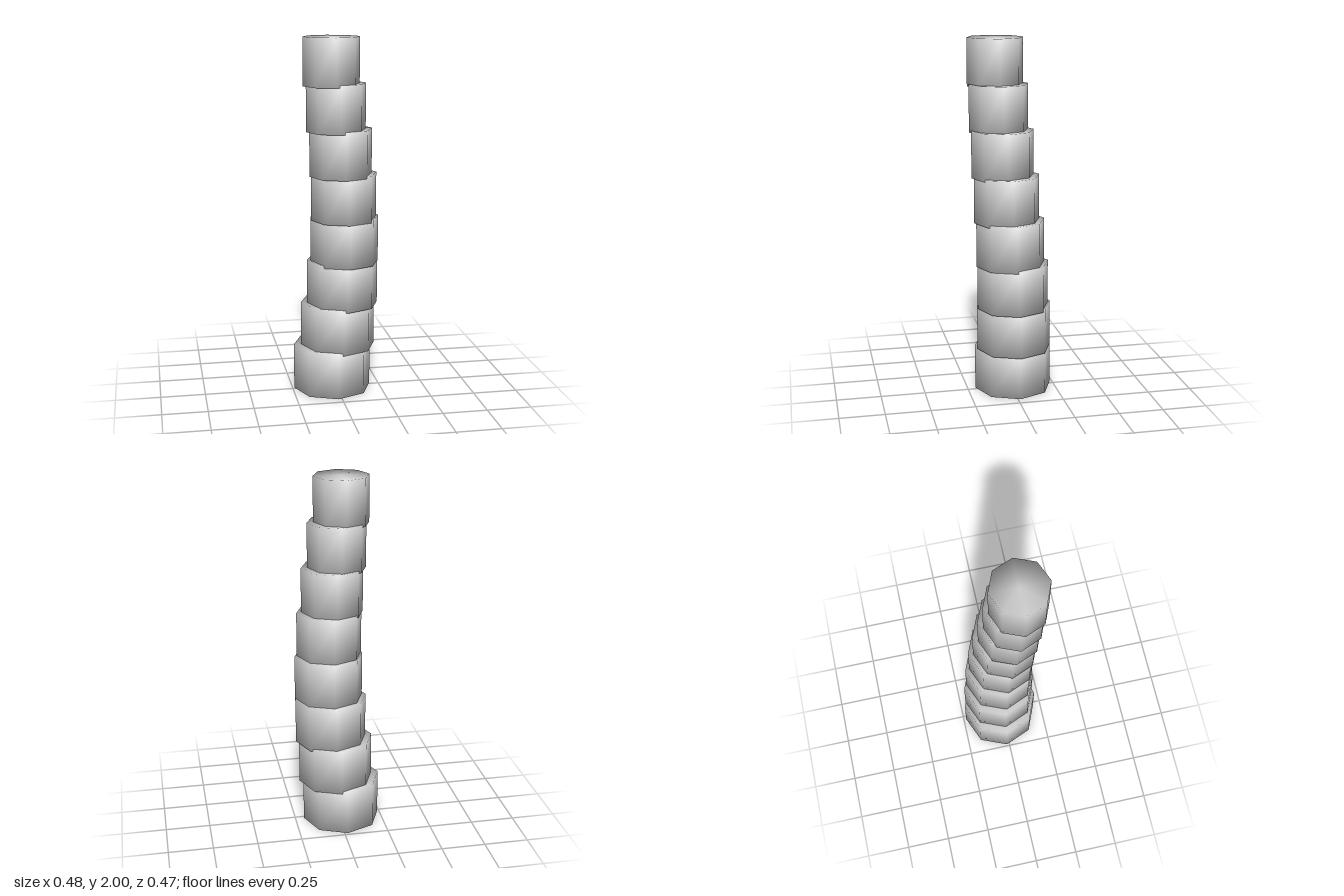
import * as THREE from 'three';
import { mergeVertices } from 'three/addons/utils/BufferGeometryUtils.js';

// Octagonal drum whose normals are blended over sides and caps
function drumGeometry(radius, height) {
  const geo = new THREE.CylinderGeometry(radius, radius, height, 8);
  geo.deleteAttribute('normal');
  geo.deleteAttribute('uv');
  const merged = mergeVertices(geo, 1e-4);
  merged.computeVertexNormals();
  return merged;
}

export function createModel() {
  const group = new THREE.Group();
  group.name = 'segmentedColumn';
  const material = new THREE.MeshStandardMaterial({ color: 0xcccccc });

  // Centre [x, z] of each segment along the gently curving stalk, from the bottom up
  const centres = [
    [-0.02, -0.015], [0.012, -0.014], [0.037, -0.004], [0.046, 0.012],
    [0.039, 0.031], [0.018, 0.05], [-0.011, 0.066], [-0.039, 0.08],
  ];
  const height = 0.262;
  const last = centres.length - 1;
  const step = (2 - height) / last; // segments overlap slightly

  centres.forEach(([x, z], i) => {
    const radius = THREE.MathUtils.lerp(0.22, 0.155, i / last);
    const segment = new THREE.Mesh(drumGeometry(radius, height), material);
    segment.name = `segment${i + 1}`;
    segment.position.set(x, height / 2 + i * step, z);
    group.add(segment);
  });
  return group;
}
